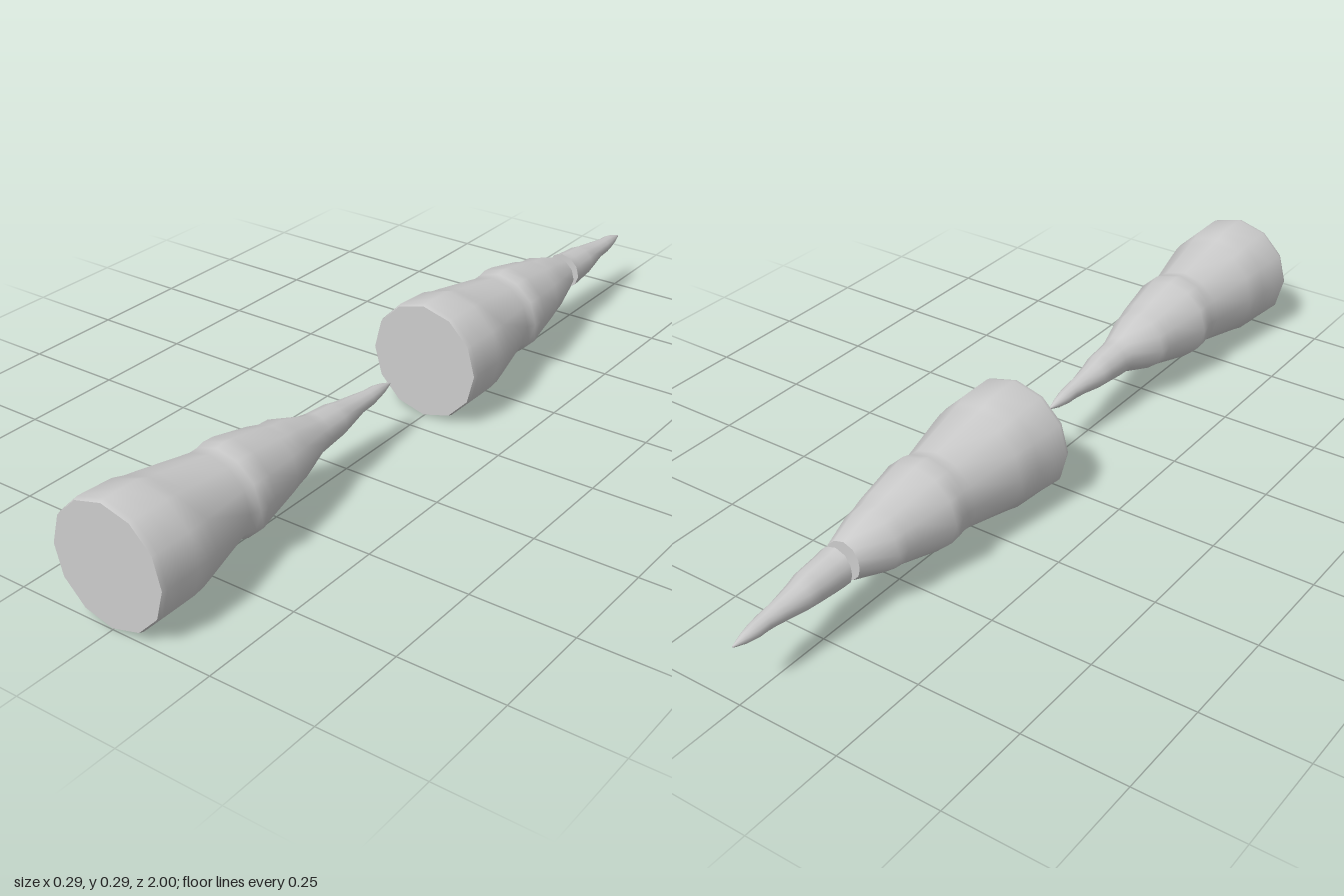
import * as THREE from 'three';

const SIDES = 12;
const AXIS_Y = 0.15;
const material = new THREE.MeshStandardMaterial({ color: 0xcccccc });

// Rings: distance from base, then radius toward +x, top, -x, bottom
const RINGS = [
  [0, 0.143, 0.143, 0.143, 0.144],
  [0.012, 0.147, 0.147, 0.147, 0.147],
  [0.05, 0.147, 0.147, 0.139, 0.147],
  [0.10, 0.147, 0.146, 0.132, 0.145],
  [0.13, 0.146, 0.136, 0.129, 0.136],
  [0.16, 0.139, 0.131, 0.125, 0.129],
  [0.30, 0.104, 0.105, 0.105, 0.098],
  [0.325, 0.111, 0.107, 0.102, 0.104],
  [0.345, 0.115, 0.112, 0.104, 0.111],
  [0.375, 0.108, 0.108, 0.109, 0.104],
  [0.47, 0.09, 0.09, 0.085, 0.08],
  [0.50, 0.083, 0.08, 0.079, 0.072],
  [0.53, 0.077, 0.079, 0.077, 0.067],
  [0.613, 0.052, 0.052, 0.04, 0.042],
  [0.64, 0.049, 0.047, 0.038, 0.041],
  [0.70, 0.044, 0.042, 0.036, 0.034],
  [0.73, 0.037, 0.034, 0.033, 0.032],
  [0.79, 0.025, 0.026, 0.024, 0.021],
  [0.83, 0.023, 0.02, 0.017, 0.018],
  [0.86, 0.018, 0.018, 0.018, 0.014],
  [0.89, 0.011, 0.012, 0.012, 0.011],
  [0.92, 0.002, 0.002, 0.002, 0.002],
];
const CUT = 13;

// Blend the four direction radii around one ring
function ringPoints([s, right, top, left, bottom], baseZ) {
  return Array.from({ length: SIDES }, (_, j) => {
    const a = (j / SIDES) * Math.PI * 2;
    const c = Math.cos(a), n = Math.sin(a);
    const r = c * c * (c > 0 ? right : left) + n * n * (n > 0 ? top : bottom);
    return [r * c, AXIS_Y + r * n, baseZ - s];
  });
}

function makeMesh(name, points, index) {
  const geometry = new THREE.BufferGeometry();
  geometry.setAttribute('position', new THREE.Float32BufferAttribute(points.flat(), 3));
  geometry.setIndex(index);
  geometry.computeVertexNormals();
  const mesh = new THREE.Mesh(geometry, material);
  mesh.name = name;
  return mesh;
}

// Flat end disc, facing +z or -z
function makeCap(name, ring, facesFront) {
  const points = [[0, AXIS_Y, ring[0][2]], ...ring];
  const index = [];
  for (let j = 0; j < SIDES; j++) {
    const a = 1 + j, b = 1 + ((j + 1) % SIDES);
    index.push(0, ...(facesFront ? [a, b] : [b, a]));
  }
  return makeMesh(name, points, index);
}

// Closed section of a spike, running from its base toward -z
function makeSection(name, rings, baseZ) {
  const loops = rings.map((ring) => ringPoints(ring, baseZ));
  const index = [];
  for (let i = 0; i < loops.length - 1; i++) {
    for (let j = 0; j < SIDES; j++) {
      const k = (j + 1) % SIDES;
      const a = i * SIDES + j, b = i * SIDES + k;
      index.push(a, a + SIDES, b, b, a + SIDES, b + SIDES);
    }
  }
  const group = new THREE.Group();
  group.name = name;
  group.add(
    makeMesh(name + 'Shell', loops.flat(), index),
    makeCap(name + 'Base', loops[0], true),
    makeCap(name + 'End', loops[loops.length - 1], false),
  );
  return group;
}

export function createModel() {
  const model = new THREE.Group();
  model.name = 'spikes';
  model.add(
    makeSection('wholeSpike', RINGS, 1),
    // Second spike is snapped, with its tip pushed away
    makeSection('brokenSpikeBody', RINGS.slice(0, CUT + 1), -0.056),
    makeSection('brokenSpikeTip', RINGS.slice(CUT), -0.08),
  );
  return model;
}
